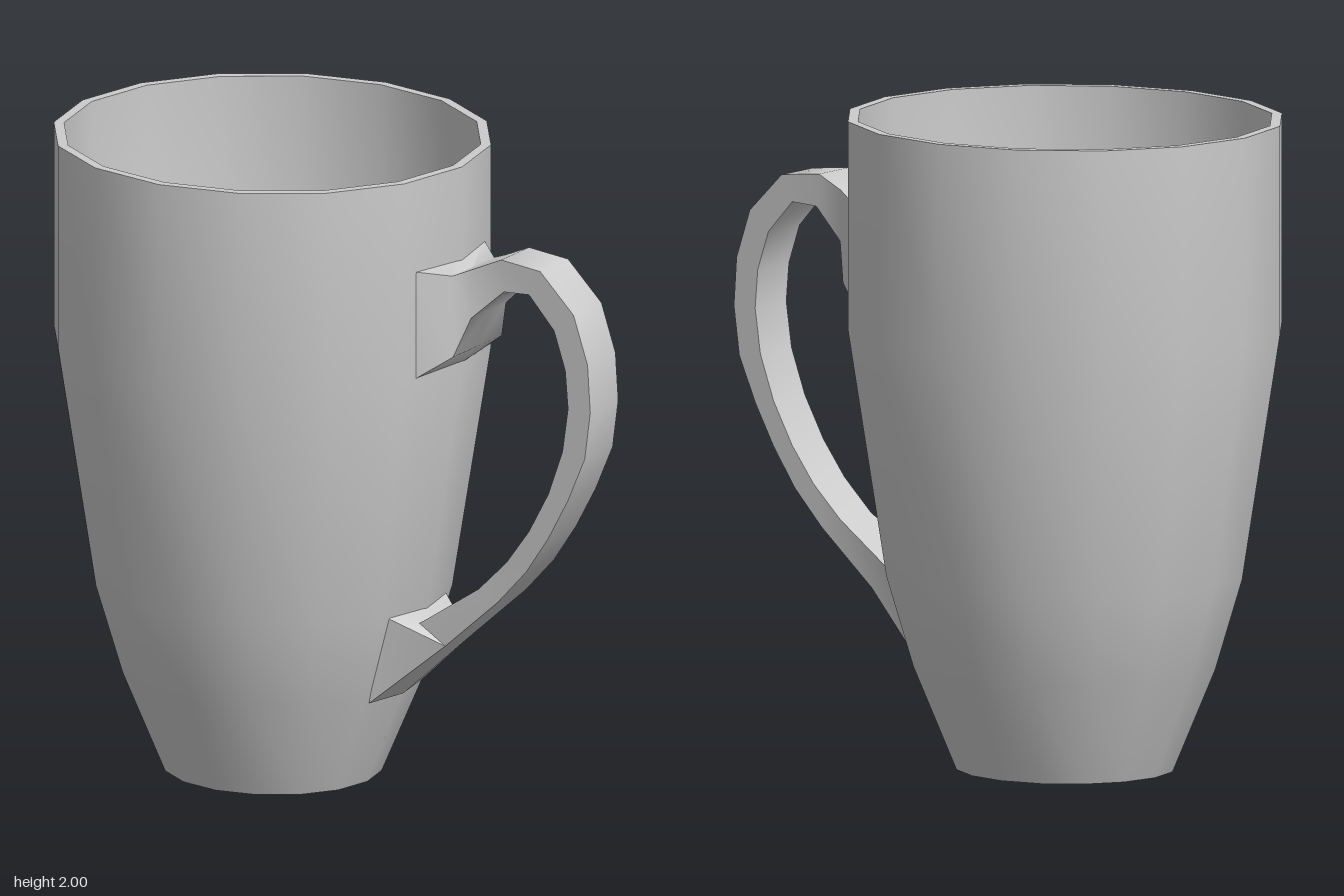
import * as THREE from 'three';
import { toCreasedNormals } from 'three/addons/utils/BufferGeometryUtils.js';

const material = new THREE.MeshStandardMaterial({ color: 0xcccccc, side: THREE.DoubleSide });
const SIDES = 16;

function lathe(points) {
  const profile = points.map(([r, y]) => new THREE.Vector2(r, y));
  return new THREE.LatheGeometry(profile, SIDES);
}

function addPart(parent, name, geometry) {
  const mesh = new THREE.Mesh(geometry, material);
  mesh.name = name;
  parent.add(mesh);
}

// Strap handle lofted through cross-sections. Each row is
// [outerX, outerY, innerX, innerY, outer half width, inner half width, bulge at the middle]
function handleGeometry() {
  const sections = [
    [0.375, 1.71, 0.375, 1.37, 0.2, 0.2, 0.03],
    [0.46, 1.69, 0.475, 1.44, 0.12, 0.14],
    [0.52, 1.715, 0.515, 1.56, 0.09, 0.1],
    [0.61, 1.755, 0.62, 1.655],
    [0.75, 1.74, 0.71, 1.66],
    [0.87, 1.62, 0.80, 1.56],
    [0.92, 1.47, 0.84, 1.44],
    [0.93, 1.32, 0.85, 1.32],
    [0.91, 1.17, 0.83, 1.18],
    [0.85, 1.03, 0.78, 1.04],
    [0.78, 0.90, 0.71, 0.91],
    [0.70, 0.78, 0.63, 0.80],
    [0.60, 0.67, 0.53, 0.70],
    [0.41, 0.50, 0.33, 0.565, 0.08, 0.1],
    [0.18, 0.30, 0.25, 0.59, 0.15, 0.17, 0.03],
  ];
  const positions = [];
  const index = [];
  const ring = 6;
  sections.forEach(([ox, oy, ix, iy, ow = 0.08, iw = 0.08, bulge = 0], i) => {
    positions.push(
      ox, oy, ow, ox + bulge, oy, 0, ox, oy, -ow,
      ix, iy, -iw, ix + bulge, iy, 0, ix, iy, iw,
    );
    if (i === sections.length - 1) return;
    for (let j = 0; j < ring; j++) {
      const a = i * ring + j;
      const b = i * ring + (j + 1) % ring;
      index.push(a, a + ring, b, b, a + ring, b + ring);
    }
  });
  const geometry = new THREE.BufferGeometry();
  geometry.setAttribute('position', new THREE.Float32BufferAttribute(positions, 3));
  geometry.setIndex(index);
  return toCreasedNormals(geometry, 0.7);
}

export function createModel() {
  const model = new THREE.Group();
  model.name = 'mug';

  // Slightly oval cup, set off centre to make room for the handle
  const cup = new THREE.Group();
  cup.name = 'cup';
  cup.position.x = -0.26;
  cup.scale.z = 0.956;
  model.add(cup);

  // Underside, outer wall and flat rim
  addPart(cup, 'outerWall', toCreasedNormals(lathe([
    [0, 0], [0.34, 0], [0.475, 0.32], [0.56, 0.6], [0.68, 1.36], [0.68, 2], [0.648, 2],
  ]), 0.6));

  // Inside wall running smoothly into a rounded floor
  addPart(cup, 'innerWall', lathe([
    [0.648, 2], [0.648, 1.36], [0.528, 0.6], [0.45, 0.36], [0.4, 0.25], [0.28, 0.18], [0, 0.15],
  ]));

  addPart(model, 'handle', handleGeometry());
  return model;
}
